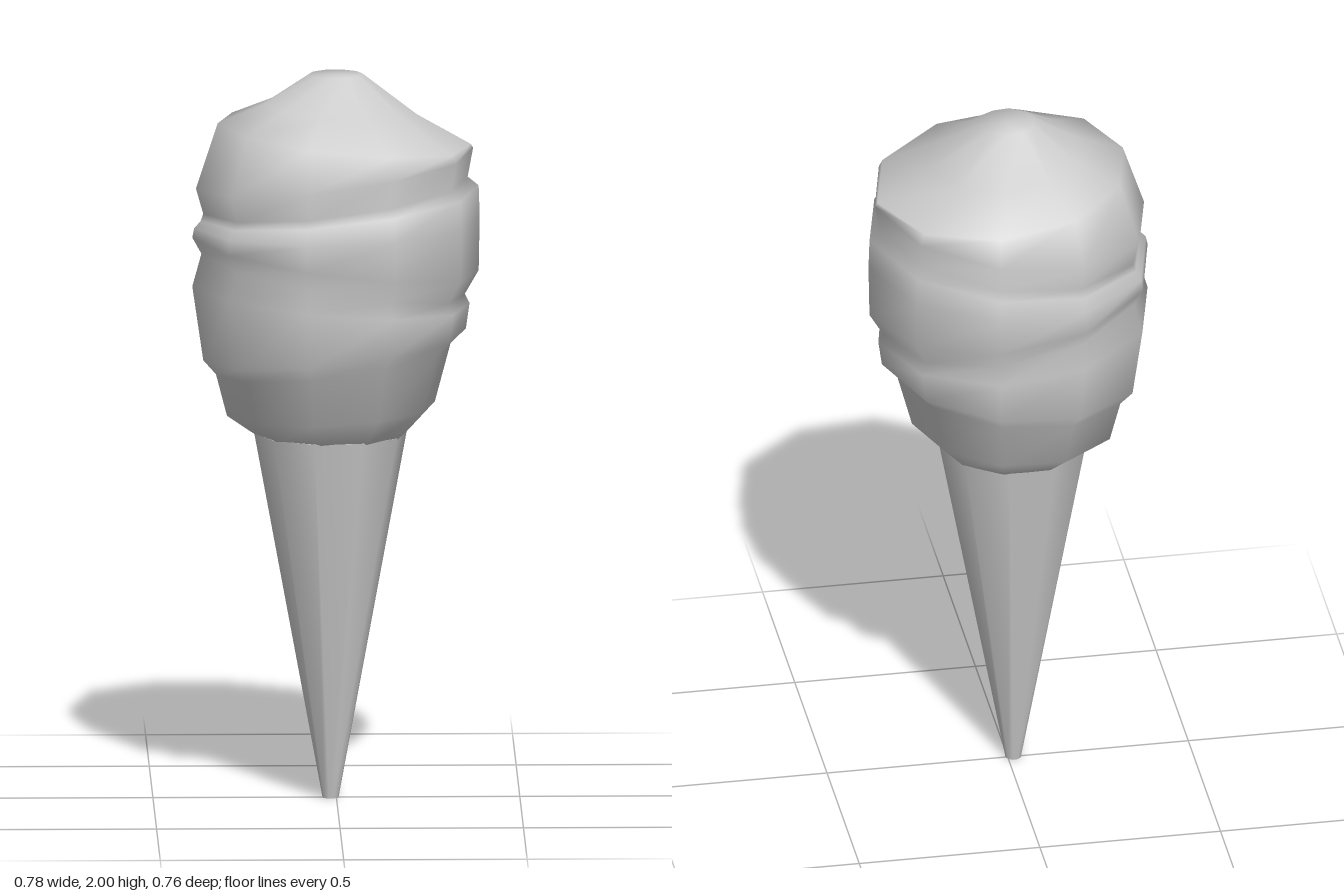
import * as THREE from 'three';

const SIDES = 10;
const PHASE = -5 * Math.PI / 180;

// Tilted rings of the soft swirl: [height at +x, height at -x, radius at +x, radius at -x]
const RINGS = [
  [1.005, 1.005, 0.19, 0.22],
  [1.09, 1.06, 0.27, 0.30],
  [1.25, 1.175, 0.313, 0.33], // lower groove
  [1.29, 1.215, 0.355, 0.365],
  [1.36, 1.42, 0.365, 0.395],
  [1.385, 1.51, 0.352, 0.37], // middle groove
  [1.45, 1.555, 0.39, 0.395],
  [1.60, 1.58, 0.393, 0.39],
  [1.685, 1.60, 0.39, 0.372],
  [1.71, 1.62, 0.36, 0.365], // upper groove
  [1.79, 1.69, 0.375, 0.385],
  [1.80, 1.87, 0.368, 0.325], // shoulder
  [1.885, 1.92, 0.22, 0.20],
  [2.0, 2.0, 0.072, 0.075],
];

function swirlGeometry() {
  const positions = [];
  const index = [];
  for (const [yRight, yLeft, rRight, rLeft] of RINGS) {
    for (let i = 0; i < SIDES; i++) {
      const a = PHASE + (i / SIDES) * Math.PI * 2;
      const t = (1 - Math.cos(a)) / 2;
      const r = THREE.MathUtils.lerp(rRight, rLeft, t);
      positions.push(Math.cos(a) * r, THREE.MathUtils.lerp(yRight, yLeft, t), Math.sin(a) * r);
    }
  }
  const tip = positions.length / 3;
  positions.push(0, 2, 0);

  for (let j = 0; j < RINGS.length; j++) {
    for (let i = 0; i < SIDES; i++) {
      const a = j * SIDES + i;
      const b = j * SIDES + (i + 1) % SIDES;
      if (j === RINGS.length - 1) index.push(a, tip, b);
      else index.push(a, a + SIDES, b, b, a + SIDES, b + SIDES);
    }
  }
  const geometry = new THREE.BufferGeometry();
  geometry.setAttribute('position', new THREE.Float32BufferAttribute(positions, 3));
  geometry.setIndex(index);
  geometry.computeVertexNormals();
  return geometry;
}

export function createModel() {
  const model = new THREE.Group();
  model.name = 'iceCreamCone';
  const material = new THREE.MeshStandardMaterial({ color: 0xcccccc });

  // Tapered wafer with a blunt tip
  const height = 1.01;
  const wafer = new THREE.Mesh(
    new THREE.CylinderGeometry(0.209, 0.022, height, SIDES, 1, false, Math.PI / 2 - PHASE),
    material
  );
  wafer.name = 'waferCone';
  wafer.position.set(-0.016, height / 2, 0.003);
  model.add(wafer);

  // Stacked, tilted folds of ice cream
  const swirl = new THREE.Mesh(swirlGeometry(), material);
  swirl.name = 'iceCreamSwirl';
  model.add(swirl);

  return model;
}
